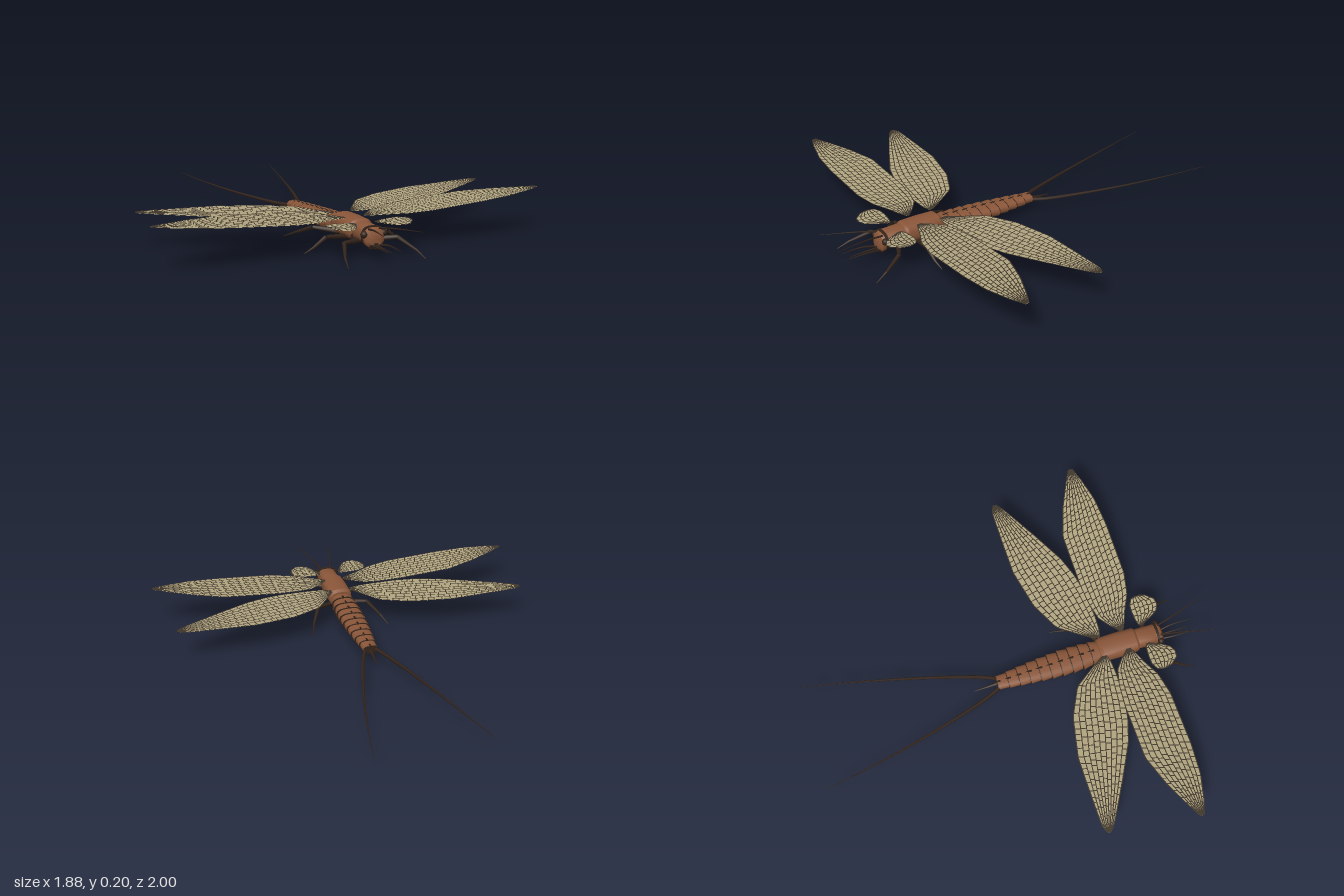
import * as THREE from 'three';
import { toCreasedNormals } from 'three/addons/utils/BufferGeometryUtils.js';

const mat = (color, side = THREE.FrontSide) => new THREE.MeshStandardMaterial({ color, side });
const V = (x, y, z) => new THREE.Vector3(x, y, z);

function geometryFrom(positions, indices) {
  const g = new THREE.BufferGeometry();
  g.setAttribute('position', new THREE.Float32BufferAttribute(positions, 3));
  g.setIndex(indices);
  g.computeVertexNormals();
  return g;
}

// Closed body running towards -z; each ring is [z, halfWidth, bottom, top]
function loft(rings, sides = 20, power = 0.75) {
  const pos = [], idx = [];
  const bend = (t) => Math.sign(t) * Math.abs(t) ** power;
  for (const [z, w, lo, hi] of rings) {
    for (let j = 0; j < sides; j++) {
      const a = (j / sides) * Math.PI * 2;
      pos.push(w * bend(Math.cos(a)), (lo + hi) / 2 + ((hi - lo) / 2) * bend(Math.sin(a)), z);
    }
  }
  const last = rings.length - 1, centre = rings.length * sides;
  for (const r of [rings[0], rings[last]]) pos.push(0, (r[2] + r[3]) / 2, r[0]);
  for (let j = 0; j < sides; j++) {
    const k = (j + 1) % sides;
    for (let i = 0; i < last; i++) {
      const a = i * sides + j, b = i * sides + k;
      idx.push(a, a + sides, b, b, a + sides, b + sides);
    }
    idx.push(centre, j, k, centre + 1, last * sides + k, last * sides + j);
  }
  return toCreasedNormals(geometryFrom(pos, idx), 0.6);
}

// Tube along points, thinning from r0 to r1
function taper(points, r0, r1, steps = 16) {
  const curve = new THREE.CatmullRomCurve3(points);
  const g = new THREE.TubeGeometry(curve, steps, 1, 6);
  const p = g.attributes.position, v = new THREE.Vector3();
  for (let i = 0; i < p.count; i++) {
    const t = Math.floor(i / 7) / steps, c = curve.getPointAt(t);
    v.fromBufferAttribute(p, i).sub(c).multiplyScalar(r0 + (r1 - r0) * t).add(c);
    p.setXYZ(i, v.x, v.y, v.z);
  }
  return g;
}

// Wing surface from stations [x, rearZ, frontZ]; returns a point for u, v in 0..1
function wingSurface(stations, y0, y1, s) {
  const x0 = stations[0][0], x1 = stations[stations.length - 1][0];
  return (u, v, lift = 0) => {
    const x = x0 + (x1 - x0) * u;
    let i = 0;
    while (i < stations.length - 2 && stations[i + 1][0] < x) i++;
    const a = stations[i], b = stations[i + 1], t = (x - a[0]) / (b[0] - a[0]);
    const rear = a[1] + (b[1] - a[1]) * t, front = a[2] + (b[2] - a[2]) * t;
    return V(s * x, y0 + (y1 - y0) * u + lift, rear + (front - rear) * v);
  };
}

function membrane(at, nu = 48, nv = 6) {
  const pos = [], idx = [];
  for (let i = 0; i <= nu; i++) for (let j = 0; j <= nv; j++) pos.push(...at(i / nu, j / nv).toArray());
  for (let i = 0; i < nu; i++) for (let j = 0; j < nv; j++) {
    const a = i * (nv + 1) + j, b = a + nv + 1;
    idx.push(a, a + 1, b, b, a + 1, b + 1);
  }
  return geometryFrom(pos, idx);
}

// Long veins joined by staggered cross veins, as flat ribbons on the upper face
function veins(at, rows, columns, width) {
  const pos = [], idx = [], steps = 48;
  const ribbon = (a, b) => {
    const d = b.clone().sub(a);
    const n = V(-d.z, 0, d.x).normalize().multiplyScalar(width / 2);
    const k = pos.length / 3;
    for (const q of [a.clone().add(n), a.clone().sub(n), b.clone().add(n), b.clone().sub(n)]) pos.push(q.x, q.y, q.z);
    idx.push(k, k + 2, k + 1, k + 1, k + 2, k + 3);
  };
  for (let r = 0; r <= rows; r++) {
    const v = r / rows;
    for (let i = 0; i < steps; i++) ribbon(at(i / steps, v, 0.0015), at((i + 1) / steps, v, 0.0015));
    if (r === rows) break;
    for (let c = 1; c < columns; c++) {
      const u = (c + (r % 2) * 0.5 + 0.2 * Math.sin(c * 5 + r * 3)) / (columns + 0.5);
      ribbon(at(u, v, 0.0015), at(u + 0.008, v + 1 / rows, 0.0015));
    }
  }
  return geometryFrom(pos, idx);
}

const FORE = [[0.05, 0.56, 0.575], [0.09, 0.52, 0.595], [0.14, 0.48, 0.615], [0.22, 0.46, 0.655], [0.33, 0.45, 0.677],
  [0.6, 0.45, 0.677], [0.75, 0.5, 0.665], [0.87, 0.555, 0.635], [0.94, 0.592, 0.61]];
const HIND = [[0.05, 0.43, 0.455], [0.09, 0.37, 0.465], [0.16, 0.27, 0.468], [0.3, 0.2, 0.46], [0.4, 0.178, 0.44],
  [0.5, 0.157, 0.405], [0.65, 0.155, 0.325], [0.8, 0.155, 0.24], [0.85, 0.157, 0.21], [0.88, 0.172, 0.185]];
const PAD = [[0.05, 0.66, 0.675], [0.08, 0.652, 0.735], [0.1, 0.65, 0.765], [0.13, 0.648, 0.78], [0.16, 0.65, 0.775],
  [0.19, 0.665, 0.74], [0.2, 0.69, 0.71]];

export function createModel() {
  const model = new THREE.Group();
  const brown = mat(0x8a5639), dark = mat(0x33241b);
  const tan = mat(0xb2a680, THREE.DoubleSide), vein = mat(0x40362a, THREE.DoubleSide);
  const add = (name, geometry, material) => {
    const m = new THREE.Mesh(geometry, material);
    m.name = name;
    model.add(m);
    return m;
  };

  // Head and thorax
  add('head', loft([[0.762, 0.03, 0.06, 0.11], [0.752, 0.046, 0.05, 0.13], [0.73, 0.05, 0.05, 0.14], [0.72, 0.044, 0.06, 0.135]]), brown);
  add('headCollar', loft([[0.738, 0.054, 0.052, 0.142], [0.726, 0.054, 0.052, 0.142]]), dark);
  add('mouth', loft([[0.765, 0.012, 0.045, 0.07], [0.745, 0.028, 0.036, 0.08], [0.71, 0.03, 0.05, 0.08]]), dark);
  add('prothorax', loft([[0.73, 0.043, 0.064, 0.134], [0.72, 0.047, 0.062, 0.138], [0.64, 0.048, 0.06, 0.14], [0.625, 0.046, 0.06, 0.138]]), brown);
  add('thorax', loft([[0.632, 0.05, 0.06, 0.138], [0.62, 0.058, 0.052, 0.147], [0.53, 0.061, 0.05, 0.147],
    [0.45, 0.059, 0.05, 0.144], [0.435, 0.053, 0.055, 0.132]]), brown);
  for (const z of [0.63, 0.57, 0.51]) add('thoraxBand', loft([[z + 0.004, 0.052, 0.046, 0.1], [z - 0.004, 0.052, 0.046, 0.1]]), dark);

  // Abdomen: ten overlapping segments, each flaring towards its rear edge
  const widths = new THREE.CatmullRomCurve3([0.053, 0.062, 0.065, 0.061, 0.054, 0.045, 0.033].map((w, i) => V(w, 0, i)));
  const ring = (t, flare) => {
    const z = 0.445 - 0.53 * t, w = widths.getPoint(t).x * flare;
    const mid = 0.084 - 0.017 * t, h = (0.041 - 0.022 * t) * flare;
    return [z, w, mid - h, mid + h];
  };
  for (let i = 0; i < 10; i++) {
    const t = i / 10;
    add('abdomenSegment', loft([ring(t, 0.92), ring(t + 0.05, 0.98), ring(t + 0.1, 1.05)]), brown);
    add('segmentEdge', loft([ring(t + 0.096, 1.055), ring(t + 0.104, 1.04)]), dark);
    // Small barb along the back
    const [z, , , top] = ring(t + 0.1, 1.05);
    const barb = add('backBarb', new THREE.ConeGeometry(0.007, 0.035, 5), dark);
    barb.rotation.x = -Math.PI / 2 + 0.2;
    barb.position.set(0, top, z);
  }
  add('middleTail', taper([V(0, 0.065, -0.06), V(0, 0.055, -0.13), V(0, 0.048, -0.2)], 0.01, 0.002), dark);
  add('middlePalp', taper([V(0, 0.06, 0.74), V(0, 0.062, 0.82), V(0, 0.06, 0.9)], 0.006, 0.001), dark);

  for (const s of [1, -1]) {
    const side = s > 0 ? 'left' : 'right';
    const line = (pts) => pts.map(([x, y, z]) => V(s * x, y, z));

    // Wings
    for (const [name, stations, y0, y1, rows, columns] of [
      ['ForeWing', FORE, 0.145, 0.203, 9, 26], ['HindWing', HIND, 0.14, 0.166, 9, 24], ['WingPad', PAD, 0.138, 0.146, 6, 5]]) {
      const at = wingSurface(stations, y0, y1, s);
      add(side + name, membrane(at), tan);
      add(side + name + 'Veins', veins(at, rows, columns, 0.0045), vein);
    }

    // Eyes, antennae and palps
    const eye = add(side + 'Eye', new THREE.SphereGeometry(0.016, 14, 10), dark);
    eye.position.set(s * 0.047, 0.108, 0.742);
    add(side + 'Antenna', taper(line([[0.025, 0.13, 0.745], [0.045, 0.145, 0.83], [0.092, 0.163, 1]]), 0.005, 0.0008), dark);
    add(side + 'Palp', taper(line([[0.018, 0.055, 0.74], [0.03, 0.07, 0.82], [0.03, 0.07, 0.925]]), 0.006, 0.001), dark);

    // Legs: thigh, shin and foot
    for (const [name, hip, knee, ankle, toe] of [
      ['FrontLeg', [0.03, 0.065, 0.67], [0.13, 0.075, 0.72], [0.17, 0.035, 0.81], [0.185, 0.006, 0.87]],
      ['MiddleLeg', [0.03, 0.06, 0.57], [0.15, 0.072, 0.585], [0.205, 0.03, 0.58], [0.245, 0.004, 0.57]],
      ['HindLeg', [0.03, 0.06, 0.47], [0.13, 0.075, 0.41], [0.175, 0.035, 0.32], [0.2, 0.004, 0.25]]]) {
      add(side + name + 'Thigh', taper(line([hip, knee]), 0.014, 0.009, 4), dark);
      add(side + name + 'Shin', taper(line([knee, ankle]), 0.01, 0.006, 4), dark);
      add(side + name + 'Foot', taper(line([ankle, toe]), 0.006, 0.002, 4), dark);
    }

    // Long tail filaments
    add(side + 'Tail', taper(line([[0.015, 0.067, -0.06], [0.055, 0.062, -0.15], [0.117, 0.062, -0.35],
      [0.177, 0.065, -0.58], [0.23, 0.073, -0.82], [0.265, 0.082, -1]]), 0.01, 0.001, 30), dark);
  }
  return model;
}
